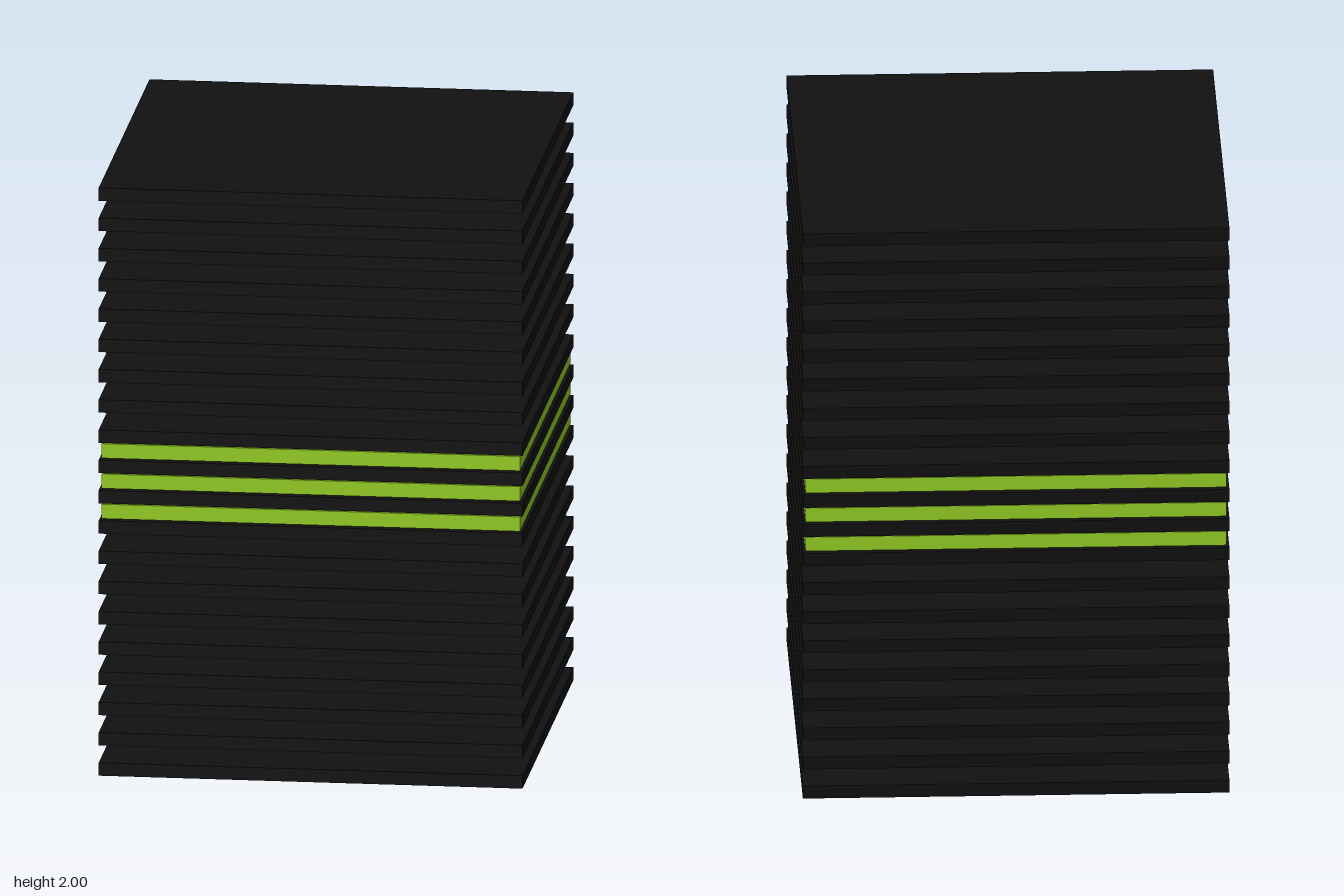
import * as THREE from 'three';

const SLABS = 20;
const THICK = 0.044;
const PITCH = (2 - THICK) / (SLABS - 1);

export function createModel() {
  const model = new THREE.Group();
  model.name = 'slabTower';

  const black = new THREE.MeshStandardMaterial({ color: 0x111111 });
  const green = new THREE.MeshStandardMaterial({ color: 0x9bd626 });

  // The whole stack is turned 20 degrees about the vertical axis
  const stack = new THREE.Group();
  stack.name = 'stack';
  stack.rotation.y = -THREE.MathUtils.degToRad(20);
  model.add(stack);

  const addPlate = (name, geometry, material, y) => {
    const plate = new THREE.Mesh(geometry, material);
    plate.name = name;
    plate.position.y = y;
    stack.add(plate);
  };

  // Evenly spaced dark slabs
  const slab = new THREE.BoxGeometry(1.404, THICK, 1.404);
  for (let i = 0; i < SLABS; i++) {
    addPlate(`slab${i + 1}`, slab, black, THICK / 2 + i * PITCH);
  }

  // Three slightly smaller bright plates in the gaps near the middle
  const band = new THREE.BoxGeometry(1.386, 0.049, 1.386);
  for (let i = 0; i < 3; i++) {
    addPlate(`band${i + 1}`, band, green, THICK / 2 + (8.5 + i) * PITCH);
  }

  return model;
}
